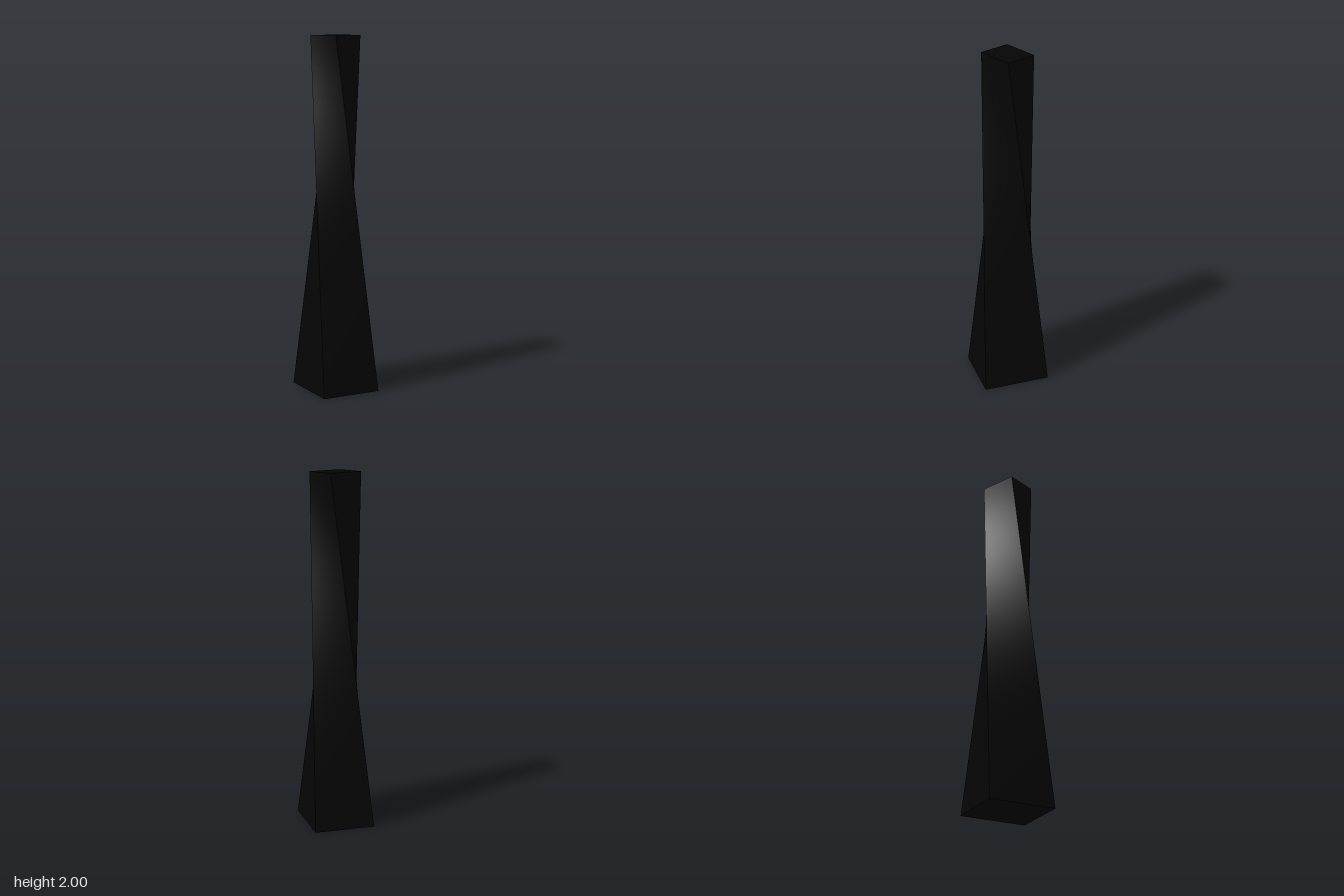
import * as THREE from 'three';

const HEIGHT = 2;
// Half width, half depth and turn of the two end rectangles
const BASE = { w: 0.173, d: 0.193, turn: -Math.PI / 4 };
const TOP = { w: 0.09, d: 0.108, turn: Math.PI / 8 };

// Place a point (u, v in -1..1) on an end rectangle
function onEnd(end, u, v) {
  const c = Math.cos(end.turn), s = Math.sin(end.turn);
  return [u * end.w * c - v * end.d * s, u * end.w * s + v * end.d * c];
}

// Box whose corner edges run straight from the base to the turned, smaller top,
// leaving gently twisted side faces
function twistedColumn() {
  const geometry = new THREE.BoxGeometry(2, 1, 2, 12, 32, 12);
  const p = geometry.attributes.position;
  for (let i = 0; i < p.count; i++) {
    const u = p.getX(i), v = p.getZ(i), t = p.getY(i) + 0.5;
    const [x0, z0] = onEnd(BASE, u, v);
    const [x1, z1] = onEnd(TOP, u, v);
    p.setXYZ(i, x0 + (x1 - x0) * t, t * HEIGHT, z0 + (z1 - z0) * t);
  }
  geometry.computeVertexNormals();
  return geometry;
}

export function createModel() {
  const model = new THREE.Group();
  model.name = 'twistedTower';
  const tower = new THREE.Mesh(
    twistedColumn(),
    new THREE.MeshStandardMaterial({ color: 0x050505 })
  );
  tower.name = 'towerShaft';
  model.add(tower);
  return model;
}
